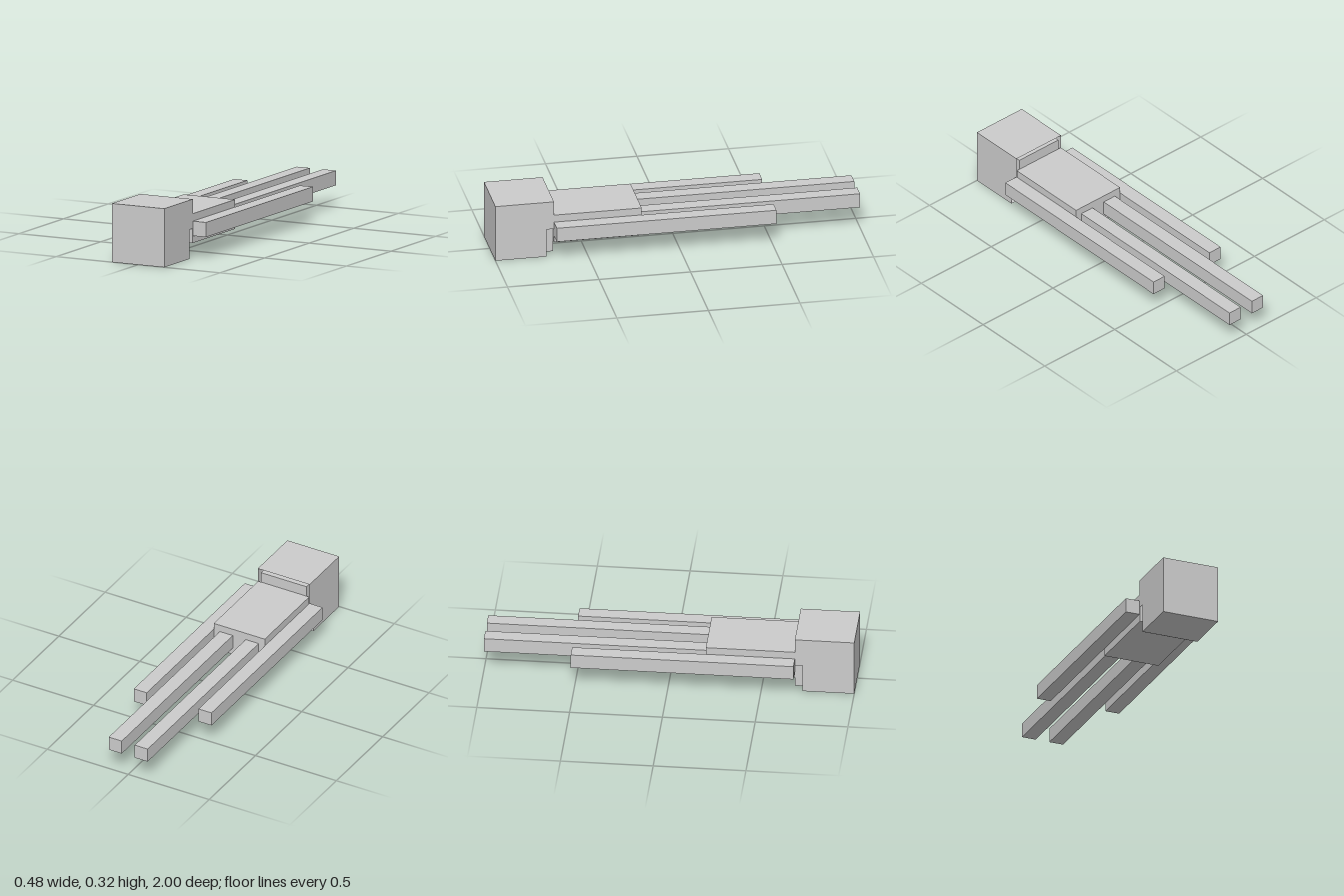
import * as THREE from 'three';

const mat = new THREE.MeshStandardMaterial({ color: 0xcccccc, flatShading: true });
const shellMat = new THREE.MeshStandardMaterial({ color: 0xcccccc, flatShading: true, side: THREE.DoubleSide });

// Box given by its size and centre
function box(name, w, h, d, x, y, z) {
  const mesh = new THREE.Mesh(new THREE.BoxGeometry(w, h, d), mat);
  mesh.position.set(x, y, z);
  mesh.name = name;
  return mesh;
}

// Paper-thin panel
function panel(name, geometry, x, y, z) {
  const mesh = new THREE.Mesh(geometry, shellMat);
  mesh.position.set(x, y, z);
  mesh.name = name;
  return mesh;
}

// Thin hollow head, open at the back, with its lower rear corners cut away
function createHeadShell() {
  const shell = new THREE.Group();
  shell.name = 'headShell';
  shell.add(panel('face', new THREE.PlaneGeometry(0.32, 0.32), 0, 0.16, 1));
  shell.add(panel('headTop', new THREE.PlaneGeometry(0.32, 0.32).rotateX(-Math.PI / 2), 0, 0.32, 0.84));
  shell.add(panel('headBottom', new THREE.PlaneGeometry(0.32, 0.28).rotateX(Math.PI / 2), 0, 0, 0.86));

  // Side outline drawn as (-z, y), then turned to face sideways
  const outline = new THREE.Shape([
    [-1, 0], [-0.72, 0], [-0.72, 0.16], [-0.68, 0.16], [-0.68, 0.32], [-1, 0.32],
  ].map(([a, b]) => new THREE.Vector2(a, b)));
  const side = new THREE.ShapeGeometry(outline).rotateY(Math.PI / 2);
  shell.add(panel('headLeftSide', side, 0.16, 0, 0));
  shell.add(panel('headRightSide', side, -0.16, 0, 0));
  return shell;
}

export function createModel() {
  const model = new THREE.Group();
  model.name = 'lyingFigure';

  // Head: outer shell around a smaller solid block
  model.add(createHeadShell());
  model.add(box('innerHead', 0.28, 0.28, 0.28, 0, 0.16, 0.82));

  // Body
  model.add(box('torso', 0.315, 0.16, 0.48, 0, 0.16, 0.44));

  // Long arms and legs
  for (const [label, s] of [['left', 1], ['right', -1]]) {
    model.add(box(label + 'Arm', 0.08, 0.08, 1.2, s * 0.2, 0.16, 0.08));
    model.add(box(label + 'Leg', 0.08, 0.08, 1.2, s * 0.08, 0.16, -0.4));
  }
  return model;
}
